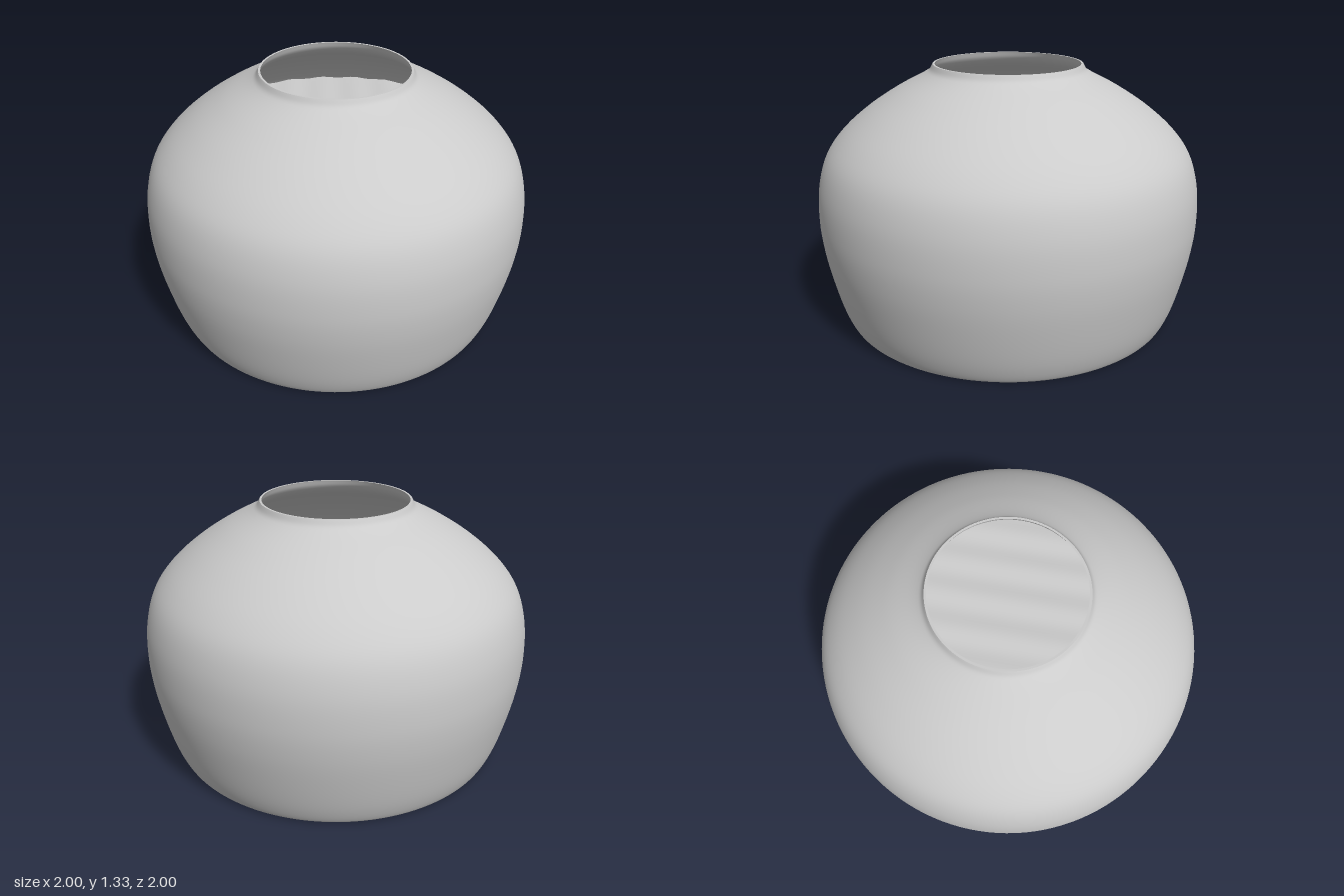
import * as THREE from 'three';

const SEGMENTS = 128;
const LIQUID_Y = 0.93;
const LIQUID_R = 0.88;

const material = () => new THREE.MeshStandardMaterial({ color: 0xcccccc, roughness: 0.7 });

// Smooth lathe profile through a few [radius, height] points
function turned(name, points, steps) {
  const curve = new THREE.CatmullRomCurve3(points.map(([r, y]) => new THREE.Vector3(r, y, 0)));
  const profile = curve.getPoints(steps).map((p) => new THREE.Vector2(p.x, p.y));
  const mesh = new THREE.Mesh(new THREE.LatheGeometry(profile, SEGMENTS), material());
  mesh.name = name;
  return mesh;
}

function disc(name, radius, y, facing) {
  const geometry = new THREE.CircleGeometry(radius, SEGMENTS).rotateX(-facing * Math.PI / 2);
  const mesh = new THREE.Mesh(geometry, material());
  mesh.position.y = y;
  mesh.name = name;
  return mesh;
}

// Liquid surface with shallow diagonal ripples
function rippledLiquid() {
  const n = 110;
  const geometry = new THREE.RingGeometry(0, LIQUID_R, SEGMENTS, n).rotateX(-Math.PI / 2);
  const position = geometry.attributes.position;
  for (let i = 0; i < position.count; i++) {
    const u = position.getX(i) - 0.23 * position.getZ(i);
    position.setY(i, 0.004 * Math.sin((2 * Math.PI * (u - 0.08)) / 0.2));
  }
  geometry.computeVertexNormals();
  const mesh = new THREE.Mesh(geometry, material());
  mesh.position.y = LIQUID_Y;
  mesh.name = 'liquidSurface';
  return mesh;
}

export function createModel() {
  const model = new THREE.Group();
  model.name = 'roundPot';

  // Outer body from the base edge up to the lip
  model.add(turned('outerBody', [
    [0.855, 0], [0.872, 0.006], [0.885, 0.025], [0.915, 0.1], [0.955, 0.25], [0.988, 0.42],
    [1, 0.57], [0.988, 0.74], [0.945, 0.88], [0.87, 0.985], [0.74, 1.1],
    [0.58, 1.205], [0.43, 1.285], [0.403, 1.305], [0.386, 1.334],
  ], 90));
  model.add(disc('base', 0.855, 0, -1));

  // Flat top edge of the lip
  const lip = new THREE.Mesh(new THREE.RingGeometry(0.375, 0.386, SEGMENTS).rotateX(-Math.PI / 2), material());
  lip.position.y = 1.334;
  lip.name = 'lip';
  model.add(lip);

  // Inner wall, running downwards so that it faces inwards
  model.add(turned('innerWall', [
    [0.375, 1.334], [0.39, 1.3], [0.42, 1.268], [0.57, 1.187], [0.73, 1.083],
    [0.855, 0.97], [0.927, 0.87], [0.968, 0.74], [0.98, 0.57], [0.968, 0.42],
    [0.935, 0.25], [0.89, 0.08], [0.84, 0.03],
  ], 80));
  model.add(disc('innerFloor', 0.84, 0.03, 1));

  model.add(rippledLiquid());
  return model;
}
